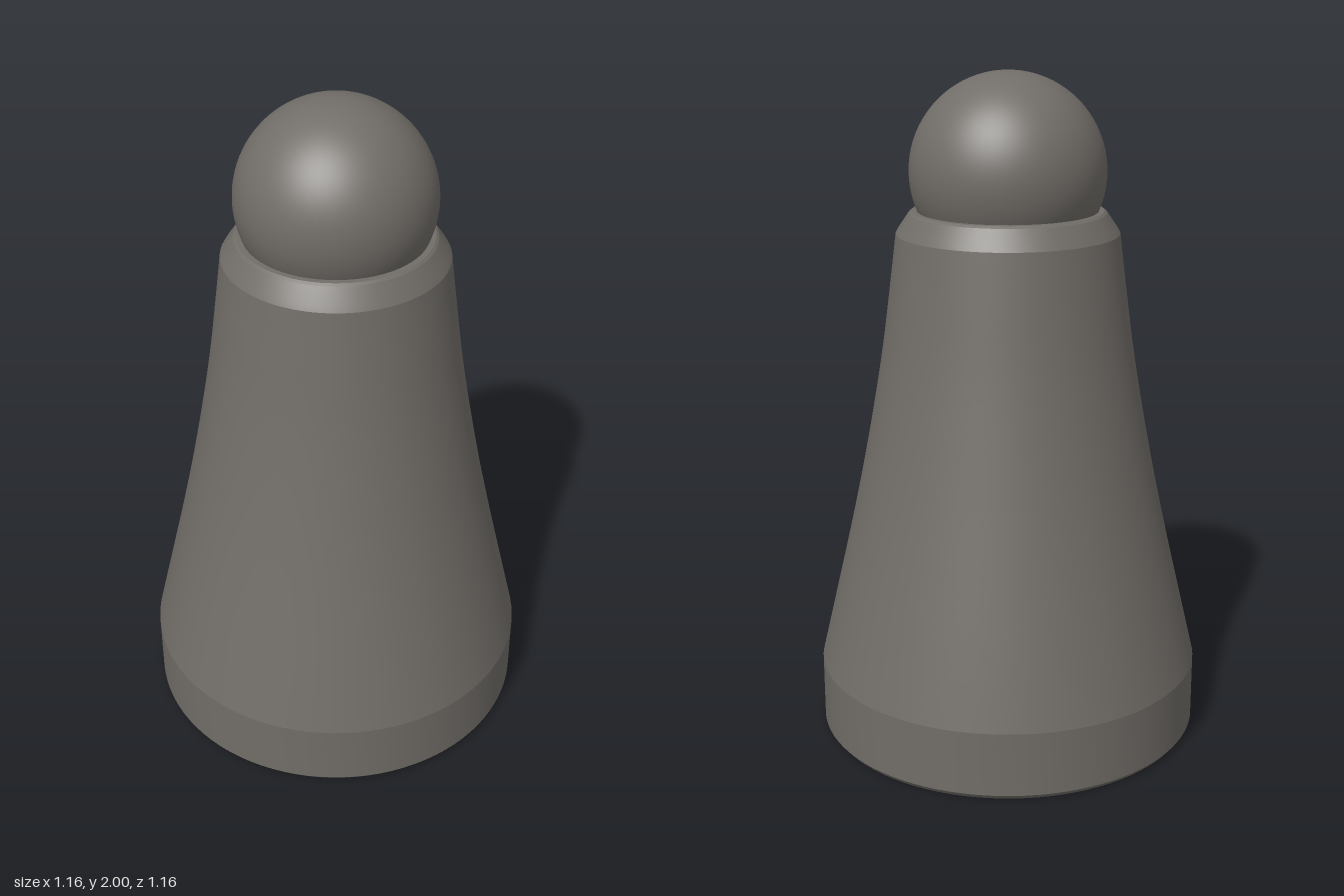
import * as THREE from 'three';
import { toCreasedNormals } from 'three/addons/utils/BufferGeometryUtils.js';

const v = (x, y) => new THREE.Vector2(x, y);

export function createModel() {
  const model = new THREE.Group();
  const grey = new THREE.MeshStandardMaterial({ color: 0x716d68 });
  grey.name = 'warm grey';

  // Gently concave flank between the base band and the collar
  const flank = new THREE.SplineCurve([
    v(0.582, 0.21), v(0.537, 0.4), v(0.49, 0.6), v(0.446, 0.8),
    v(0.407, 1.0), v(0.373, 1.2), v(0.346, 1.4), v(0.329, 1.535),
  ]).getPoints(28);

  // Hollow wall: the flank moved inward, running down to the open bottom
  const wall = 0.1;
  const inside = flank.filter((p) => p.y < 1.4).map((p) => v(p.x - wall, p.y)).reverse();

  const profile = [
    v(0, 1.4), v(0.246, 1.4), // cavity ceiling
    ...inside,
    v(0.482, 0), v(0.57, 0), v(0.582, 0.015), // foot rim with small bevel
    ...flank,
    v(0.321, 1.549), v(0.29, 1.594), v(0.282, 1.6), // chamfered collar
    v(0, 1.6),
  ];
  const body = new THREE.Mesh(
    toCreasedNormals(new THREE.LatheGeometry(profile, 96), 0.15), grey);
  body.name = 'hollowBody';
  model.add(body);

  // Ball seated in the collar
  const ball = new THREE.Mesh(new THREE.SphereGeometry(0.288, 64, 40), grey);
  ball.name = 'ballTop';
  ball.position.y = 1.712;
  model.add(ball);

  return model;
}
